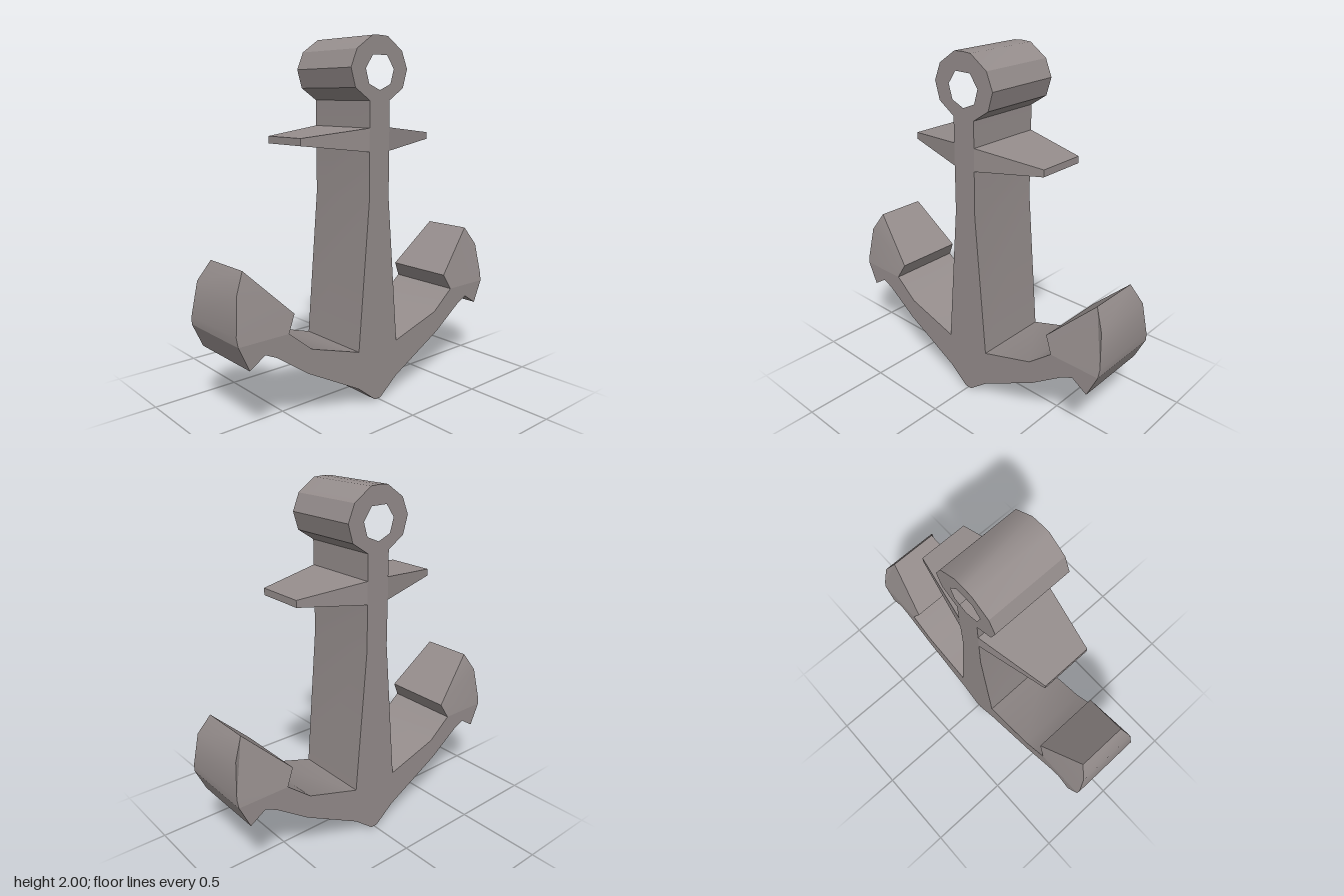
import * as THREE from 'three';
import { toCreasedNormals } from 'three/addons/utils/BufferGeometryUtils.js';

const DEPTH = 0.225; // half thickness

// Closed outline from the right half, listed top to bottom
function mirrored(half) {
  const left = half.filter(([x]) => x > 0).map(([x, y]) => [-x, y]).reverse();
  return half.concat(left).map(([x, y]) => new THREE.Vector2(x, y));
}

// Slab of full thickness, centred on z = 0
function slab(shape) {
  return new THREE.ExtrudeGeometry(shape, { depth: 2 * DEPTH, bevelEnabled: false })
    .translate(0, 0, -DEPTH);
}

// Fluke half thickness at a given height
const TAPER = [[0.529, 0.225], [0.619, 0.208], [0.765, 0.188], [0.872, 0.148]];
function flukeDepth(y) {
  for (let i = 1; i < TAPER.length; i++) {
    const [y0, d0] = TAPER[i - 1], [y1, d1] = TAPER[i];
    if (y <= y1) return THREE.MathUtils.mapLinear(Math.max(y, y0), y0, y1, d0, d1);
  }
  return TAPER[TAPER.length - 1][1];
}

export function createModel() {
  const iron = new THREE.MeshStandardMaterial({ color: 0x958d8c });
  iron.name = 'grey iron';
  const anchor = new THREE.Group();
  anchor.name = 'anchor';

  function add(name, geometry, crease = 0.55) {
    const mesh = new THREE.Mesh(toCreasedNormals(geometry, crease), iron);
    mesh.name = name;
    anchor.add(mesh);
  }

  // Shank, curved arms and the lower part of the flukes
  add('shankAndArms', slab(new THREE.Shape(mirrored([
    [0.071, 1.667], [0.071, 1.143], [0.143, 0.312], [0.466, 0.413],
    [0.608, 0.529], [0.901, 0.529], [0.841, 0.397], [0.751, 0.455],
    [0.683, 0.423], [0.49, 0.286], [0.143, 0.098], [0.021, 0],
  ]))));

  // Ring at the top with its eye
  const ring = new THREE.Shape(mirrored([
    [0, 2], [0.055, 1.997], [0.16, 1.926], [0.2, 1.832], [0.17, 1.732], [0.071, 1.667],
  ]));
  ring.holes.push(new THREE.Path(mirrored([
    [0.05, 1.9], [0.1, 1.83], [0.076, 1.752], [0, 1.72],
  ])));
  add('ring', slab(ring));

  for (const side of [1, -1]) {
    const label = side > 0 ? 'left' : 'right';

    // Upper fluke, thinning towards its tip
    const outline = [[0.608, 0.529], [0.901, 0.529], [0.905, 0.575],
      [0.88, 0.765], [0.82, 0.872], [0.561, 0.619]];
    const fluke = slab(new THREE.Shape(outline.map(([x, y]) => new THREE.Vector2(side * x, y))));
    const f = fluke.attributes.position;
    for (let i = 0; i < f.count; i++) f.setZ(i, Math.sign(f.getZ(i)) * flukeDepth(f.getY(i)));
    add(label + 'Fluke', fluke, 0.45);

    // Crossbar arm, tapering in height and thickness
    const bar = new THREE.BoxGeometry(1, 1, 1);
    const b = bar.attributes.position;
    for (let i = 0; i < b.count; i++) {
      const tip = b.getX(i) * side > 0;
      const up = b.getY(i) > 0;
      b.setXYZ(i, side * (tip ? 0.458 : 0.071),
        tip ? (up ? 1.483 : 1.445) : (up ? 1.525 : 1.4),
        Math.sign(b.getZ(i)) * (tip ? 0.14 : DEPTH));
    }
    add(label + 'Crossbar', bar, 0.2);
  }
  return anchor;
}
